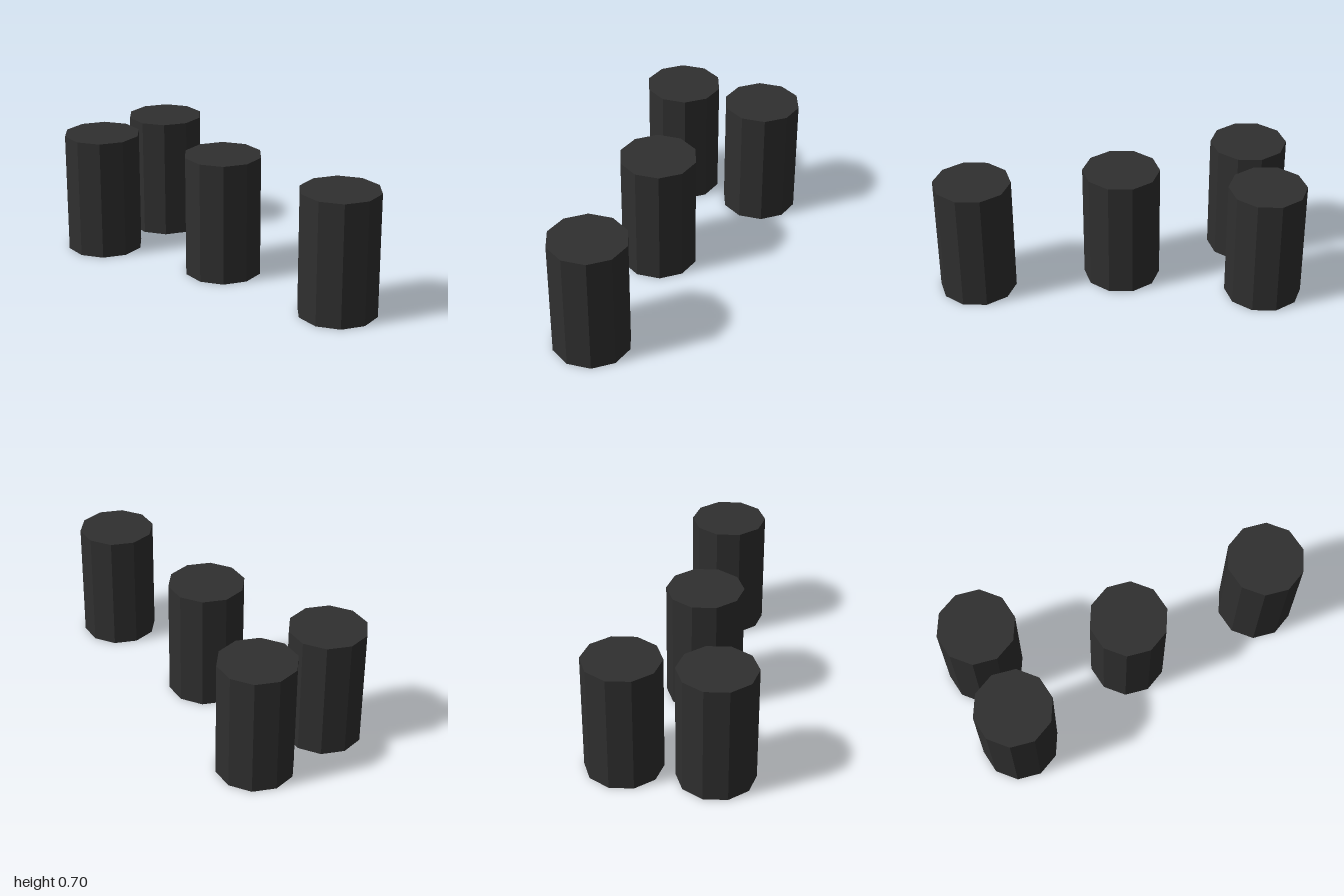
import * as THREE from 'three';

export function createModel() {
  const group = new THREE.Group();
  group.name = 'pillars';

  const charcoal = new THREE.MeshStandardMaterial({ color: 0x303030 });
  charcoal.name = 'charcoal';

  // Ten-sided pillar with corners on the x axis; non-indexed for flat faces
  const radius = 0.222, height = 0.7;
  const pillar = new THREE.CylinderGeometry(radius, radius, height, 10, 1, false, Math.PI / 10).toNonIndexed();
  pillar.computeVertexNormals();
  pillar.translate(0, height / 2, 0);

  // Pillar centres as [name, x, z]
  const places = [
    ['backPillar', -0.55, -0.5],
    ['rightPillar', -0.778, -0.04],
    ['middlePillar', 0.016, 0.125],
    ['leftPillar', 0.778, 0.5],
  ];
  for (const [name, x, z] of places) {
    const mesh = new THREE.Mesh(pillar, charcoal);
    mesh.name = name;
    mesh.position.set(x, 0, z);
    group.add(mesh);
  }
  return group;
}
